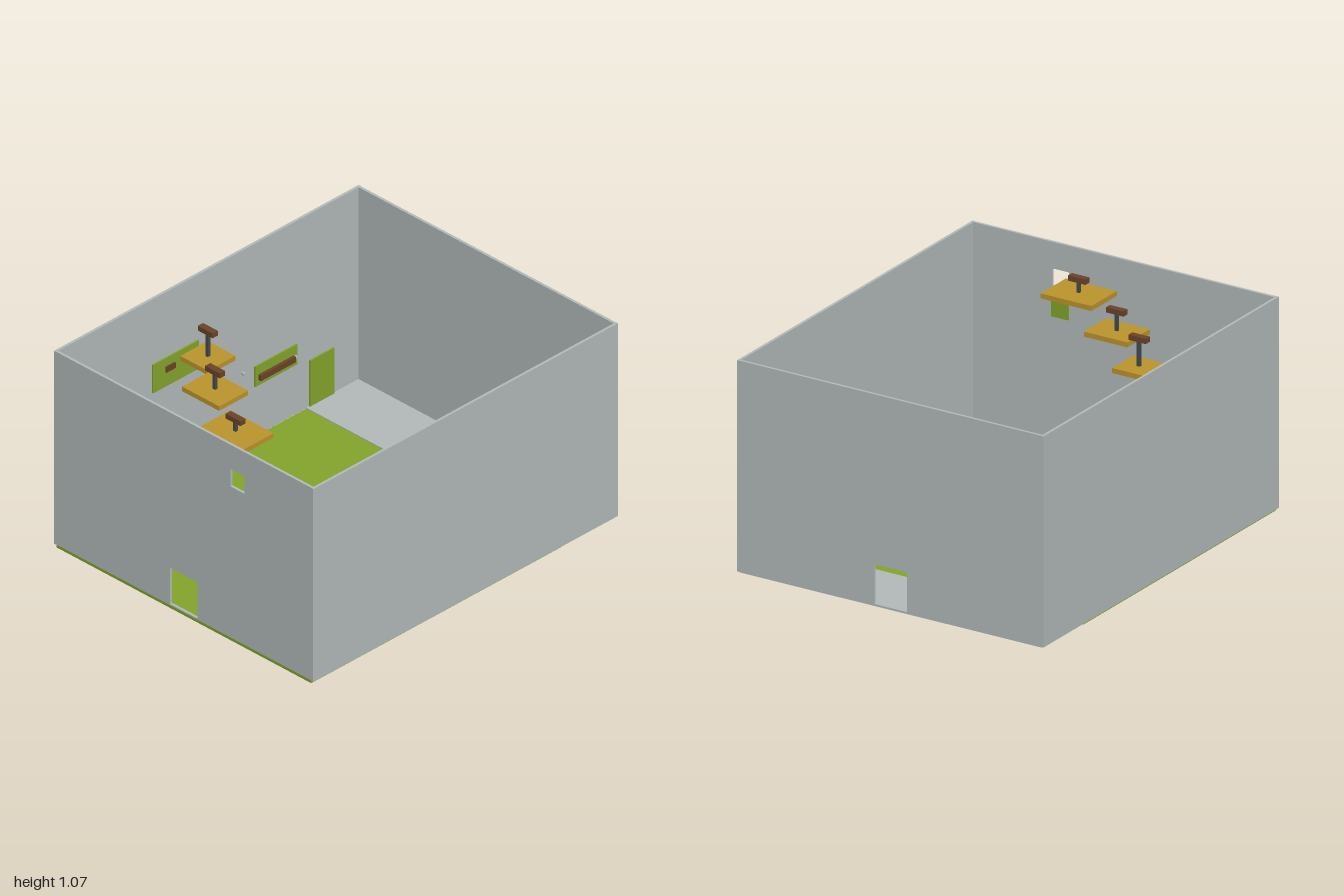
import * as THREE from 'three';

const material = (name, color) => {
  const m = new THREE.MeshStandardMaterial({ color });
  m.name = name;
  return m;
};

export function createModel() {
  const group = new THREE.Group();
  const grey = material('wall grey', 0xb5bcbc);
  const green = material('grass green', 0x84a62b);
  const ochre = material('platform ochre', 0xbd962d);
  const brown = material('wood brown', 0x6b442b);
  const slate = material('dark slate', 0x434b50);

  // Box given by its low and high corners
  const box = (name, mat, [x0, y0, z0], [x1, y1, z1]) => {
    const mesh = new THREE.Mesh(new THREE.BoxGeometry(x1 - x0, y1 - y0, z1 - z0), mat);
    mesh.position.set((x0 + x1) / 2, (y0 + y1) / 2, (z0 + z1) / 2);
    mesh.name = name;
    group.add(mesh);
  };

  // Upright wall with rectangular openings
  const rect = (T, x0, y0, x1, y1) =>
    new T([[x0, y0], [x1, y0], [x1, y1], [x0, y1]].map(p => new THREE.Vector2(...p)));
  const wall = (name, z, holes) => {
    const shape = rect(THREE.Shape, -0.828, 0.015, 0.828, 1.07);
    shape.holes = holes.map(h => rect(THREE.Path, ...h));
    const geo = new THREE.ExtrudeGeometry(shape, { depth: 0.014, bevelEnabled: false });
    const mesh = new THREE.Mesh(geo, grey);
    mesh.position.z = z;
    mesh.name = name;
    group.add(mesh);
  };
  const door = [-0.09, 0.022, 0.09, 0.22];
  wall('frontWall', 0.984, [door, [0.303, 0.842, 0.395, 0.937]]);
  wall('backWall', -0.998, [door]);
  for (const [name, x] of [['leftWall', 0.828], ['rightWall', -0.842]])
    box(name, grey, [x, 0.015, -1], [x + 0.014, 1.07, 1]);

  // Floors
  box('grassFloor', green, [-0.827, 0, -0.64], [0.827, 0.015, 0.998]);
  box('backFloor', grey, [-0.828, 0.012, -0.998], [0.828, 0.02, -0.64]);

  // Hanging-height platforms, each with a post and a wooden cap
  const platforms = [
    [-0.51, 0.325, 0.18, 0.18, 0.885],
    [-0.245, 0.545, 0.24, 0.19, 0.925],
    [0.11, 0.77, 0.28, 0.215, 0.957],
  ];
  for (const [x, z, w, d, top] of platforms) {
    box('platform', ochre, [x - w / 2, top - 0.025, z - d / 2], [x + w / 2, top, z + d / 2]);
    box('platformPost', slate, [x - 0.008, top, z - 0.008], [x + 0.008, 1.012, z + 0.008]);
    box('postCap', brown, [x - 0.048, 1.01, z - 0.017], [x + 0.048, 1.036, z + 0.017]);
  }

  // Green panels on the inside of the walls
  for (const [z0, z1, y0, y1] of [[0.07, 0.37, 0.56, 0.715], [-0.575, -0.3, 0.29, 0.4], [-0.82, -0.66, 0.02, 0.27]])
    box('wallPanel', green, [-0.828, y0, z0], [-0.82, y1, z1]);
  box('windowPanel', green, [0.303, 0.7, 0.976], [0.395, 0.8, 0.984]);

  // Wooden boards, pegs and crate along the right wall
  box('longBoard', brown, [-0.82, 0.32, -0.55], [-0.804, 0.35, -0.32]);
  box('shortBoard', brown, [-0.82, 0.64, 0.23], [-0.812, 0.67, 0.29]);
  for (const [z, y] of [[-0.56, 0.34], [-0.22, 0.4], [-0.03, 0.5], [0.13, 0.64]])
    box('peg', grey, [-0.828, y - 0.006, z - 0.006], [-0.808, y + 0.006, z + 0.006]);
  box('crate', slate, [-0.825, 0.015, 0.23], [-0.675, 0.2, 0.41]);

  return group;
}
